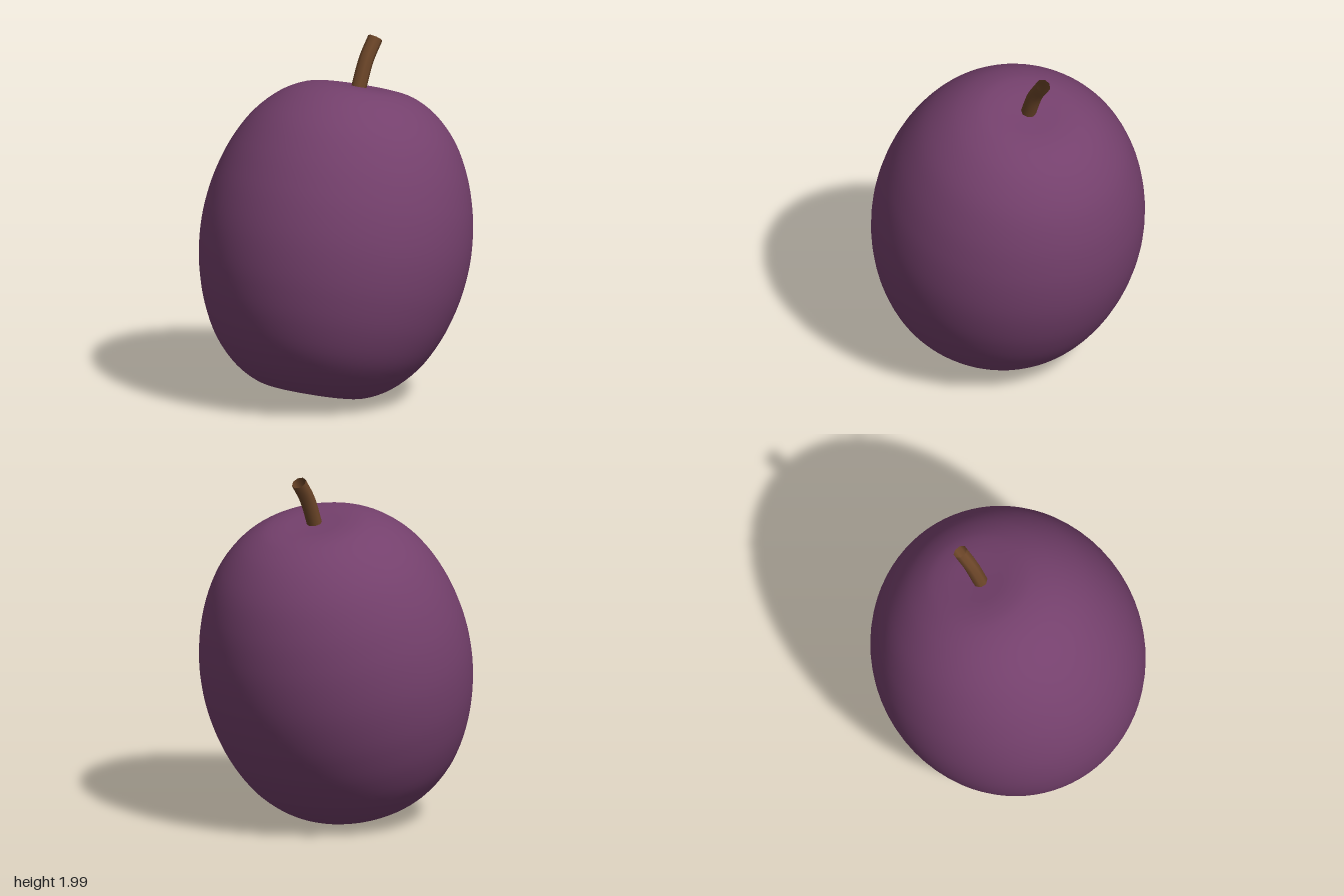
import * as THREE from 'three';

const TILT = 0.24;

export function createModel() {
  const model = new THREE.Group();
  const skin = new THREE.MeshStandardMaterial({ color: 0x74406c });
  skin.name = 'plum skin';
  const bark = new THREE.MeshStandardMaterial({ color: 0x6b4528, side: THREE.DoubleSide });
  bark.name = 'stem brown';

  // Upper half of the fruit outline (radius, height), mirrored for the lower half
  const upper = [
    [0.75, 0], [0.74, 0.15], [0.714, 0.289], [0.658, 0.46], [0.563, 0.633],
    [0.43, 0.768], [0.3, 0.837], [0.2, 0.855], [0.1, 0.855], [0, 0.852],
  ];
  const lower = upper.slice(1).reverse().map(([r, y]) => [r, -y]);
  const curve = new THREE.CatmullRomCurve3(
    [...lower, ...upper].map(([r, y]) => new THREE.Vector3(r, y, 0)));
  const profile = curve.getPoints(72).map((p) => new THREE.Vector2(Math.max(p.x, 0), p.y));

  // Fruit body, leaning towards +x
  const fruit = new THREE.Mesh(new THREE.LatheGeometry(profile, 72), skin);
  fruit.name = 'fruit';
  fruit.position.y = 0.888;
  fruit.rotation.z = -TILT;
  model.add(fruit);

  // Curved stem, open at the tip
  const path = new THREE.CatmullRomCurve3([
    [0.178, 1.69], [0.2, 1.752], [0.25, 1.868], [0.322, 1.973],
  ].map(([x, y]) => new THREE.Vector3(x, y, 0)));
  const stem = new THREE.Mesh(new THREE.TubeGeometry(path, 12, 0.042, 8), bark);
  stem.name = 'stem';
  model.add(stem);

  return model;
}
